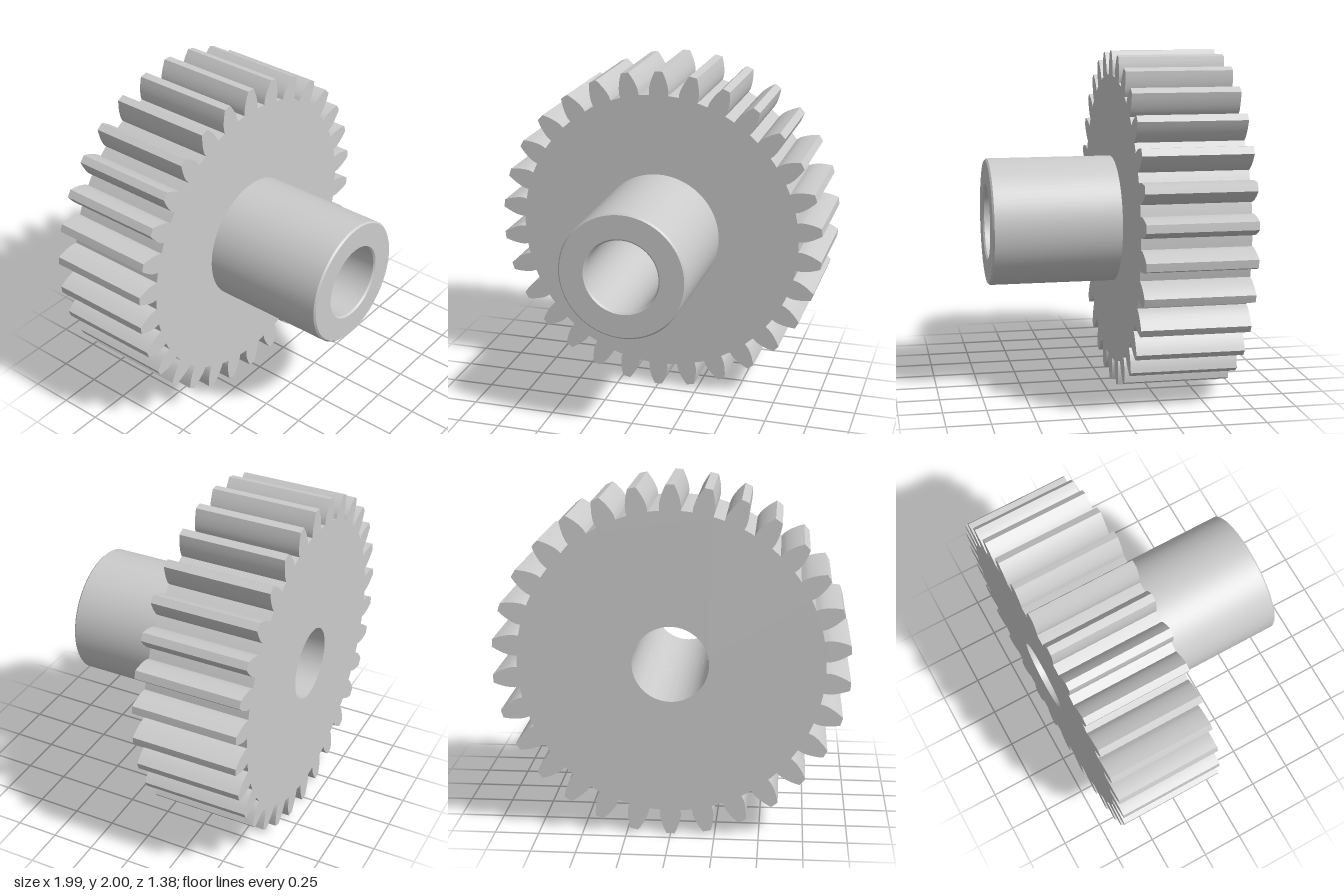
import * as THREE from 'three';
import { toCreasedNormals } from 'three/addons/utils/BufferGeometryUtils.js';

const TEETH = 30;
const TIP = 1;
const MODULE = (2 * TIP) / (TEETH + 2);
const PITCH = (MODULE * TEETH) / 2;
const ROOT = PITCH - 1.25 * MODULE;
const PRESSURE = THREE.MathUtils.degToRad(20);
const BASE = PITCH * Math.cos(PRESSURE);
const BORE = 0.215;
const BACK = -0.6875, FACE = -0.0625, FRONT = 0.6875;

const involute = (a) => Math.tan(a) - a;

// Half of the angle a tooth spans at radius r
function halfAngle(r) {
  const a = Math.acos(Math.min(1, BASE / r));
  return Math.PI / (2 * TEETH) + involute(PRESSURE) - involute(a);
}

// Involute spur gear outline with the bore as a hole
function gearShape() {
  const flank = [[ROOT, halfAngle(BASE)]];
  const steps = 7;
  for (let i = 0; i <= steps; i++) {
    const r = BASE + (TIP - BASE) * (i / steps) ** 1.5;
    flank.push([r, halfAngle(r)]);
  }
  const points = [];
  const add = (r, a) => points.push(new THREE.Vector2(r * Math.cos(a), r * Math.sin(a)));
  for (let t = 0; t < TEETH; t++) {
    const centre = Math.PI / 2 + (t * 2 * Math.PI) / TEETH;
    flank.forEach(([r, h]) => add(r, centre - h));
    add(TIP, centre);
    [...flank].reverse().forEach(([r, h]) => add(r, centre + h));
    add(ROOT, centre + Math.PI / TEETH);
  }
  const shape = new THREE.Shape(points);
  shape.holes.push(new THREE.Path().absarc(0, 0, BORE, 0, Math.PI * 2, true));
  return shape;
}

export function createModel() {
  const group = new THREE.Group();
  const material = new THREE.MeshStandardMaterial({ color: 0xcccccc });

  // Toothed wheel
  const wheel = new THREE.ExtrudeGeometry(gearShape(), {
    depth: FACE - BACK, bevelEnabled: false, curveSegments: 72,
  });
  wheel.translate(0, 1, BACK);
  const gear = new THREE.Mesh(toCreasedNormals(wheel, 0.4), material);
  gear.name = 'toothedWheel';
  group.add(gear);

  // Hub sleeve with small chamfers at its front end
  const R = 0.375, c = 0.01;
  const profile = [
    [R, FACE], [R, FRONT - c], [R - c, FRONT],
    [BORE + c, FRONT], [BORE, FRONT - c], [BORE, FACE],
  ].map(([r, z]) => new THREE.Vector2(r, z));
  const sleeve = new THREE.LatheGeometry(profile, 72);
  sleeve.rotateX(Math.PI / 2).translate(0, 1, 0);
  const hub = new THREE.Mesh(toCreasedNormals(sleeve, 0.4), material);
  hub.name = 'hub';
  group.add(hub);

  return group;
}
